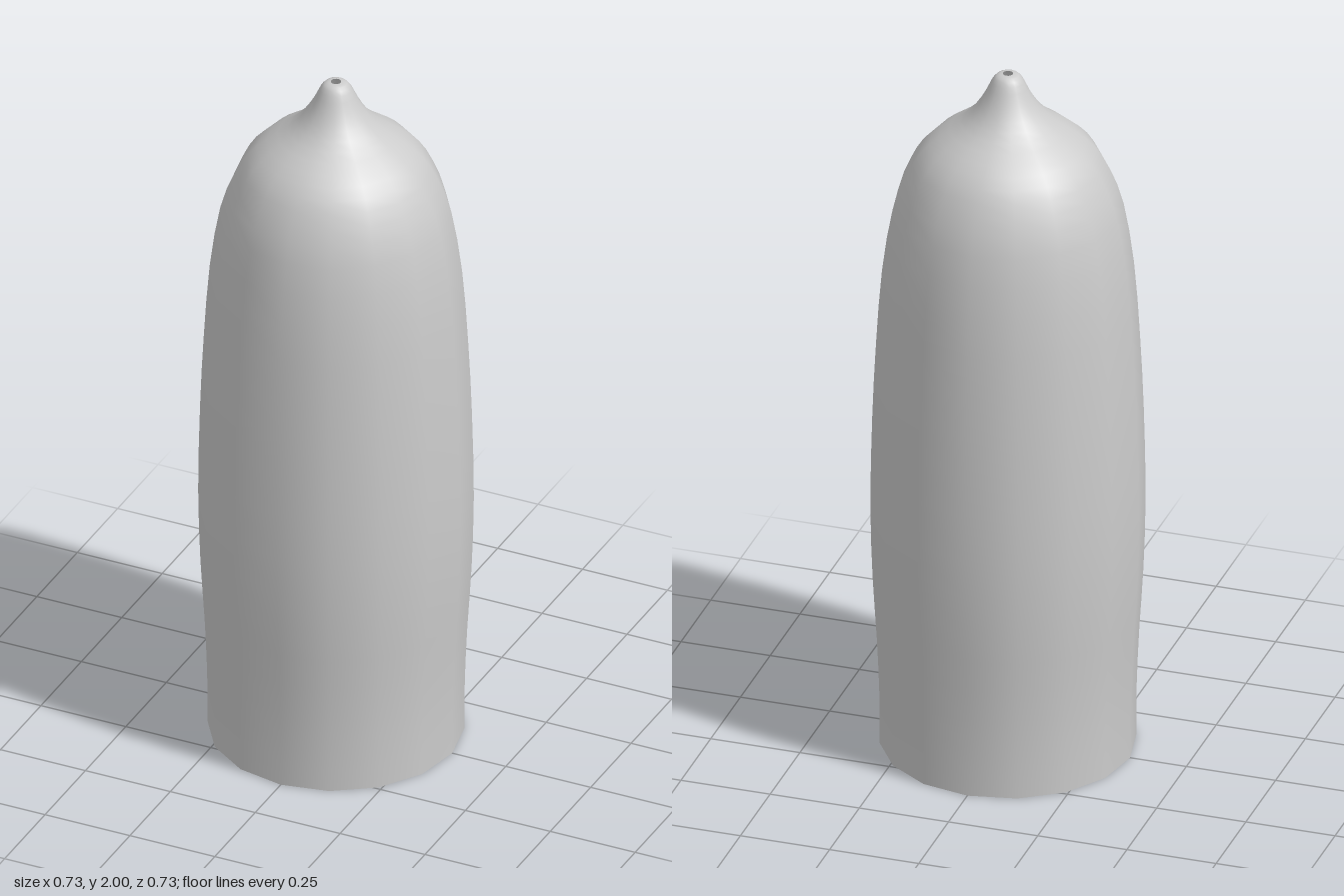
import * as THREE from 'three';

// Outline from the open base to the small hole in the tip: [radius, height]
const OUTLINE = [
  [0.342, 0], [0.343, 0.15], [0.35, 0.32], [0.361, 0.5], [0.367, 0.72], [0.362, 0.98],
  [0.352, 1.2], [0.336, 1.42], [0.308, 1.6], [0.273, 1.7], [0.235, 1.767], [0.185, 1.815],
  [0.13, 1.855], [0.09, 1.895], [0.062, 1.94], [0.044, 1.978], [0.03, 1.996], [0.014, 2],
];

export function createModel() {
  const group = new THREE.Group();
  group.name = 'pointedSleeve';

  // Thin sixteen-sided shell, open at both ends
  const curve = new THREE.SplineCurve(OUTLINE.map(([r, y]) => new THREE.Vector2(r, y)));
  const profile = curve.getPoints((OUTLINE.length - 1) * 2);
  profile.forEach((p) => { p.y = THREE.MathUtils.clamp(p.y, 0, 2); });

  const shell = new THREE.Mesh(
    new THREE.LatheGeometry(profile, 16),
    new THREE.MeshStandardMaterial({ color: 0xcccccc, side: THREE.DoubleSide }),
  );
  shell.name = 'shell';
  group.add(shell);
  return group;
}
